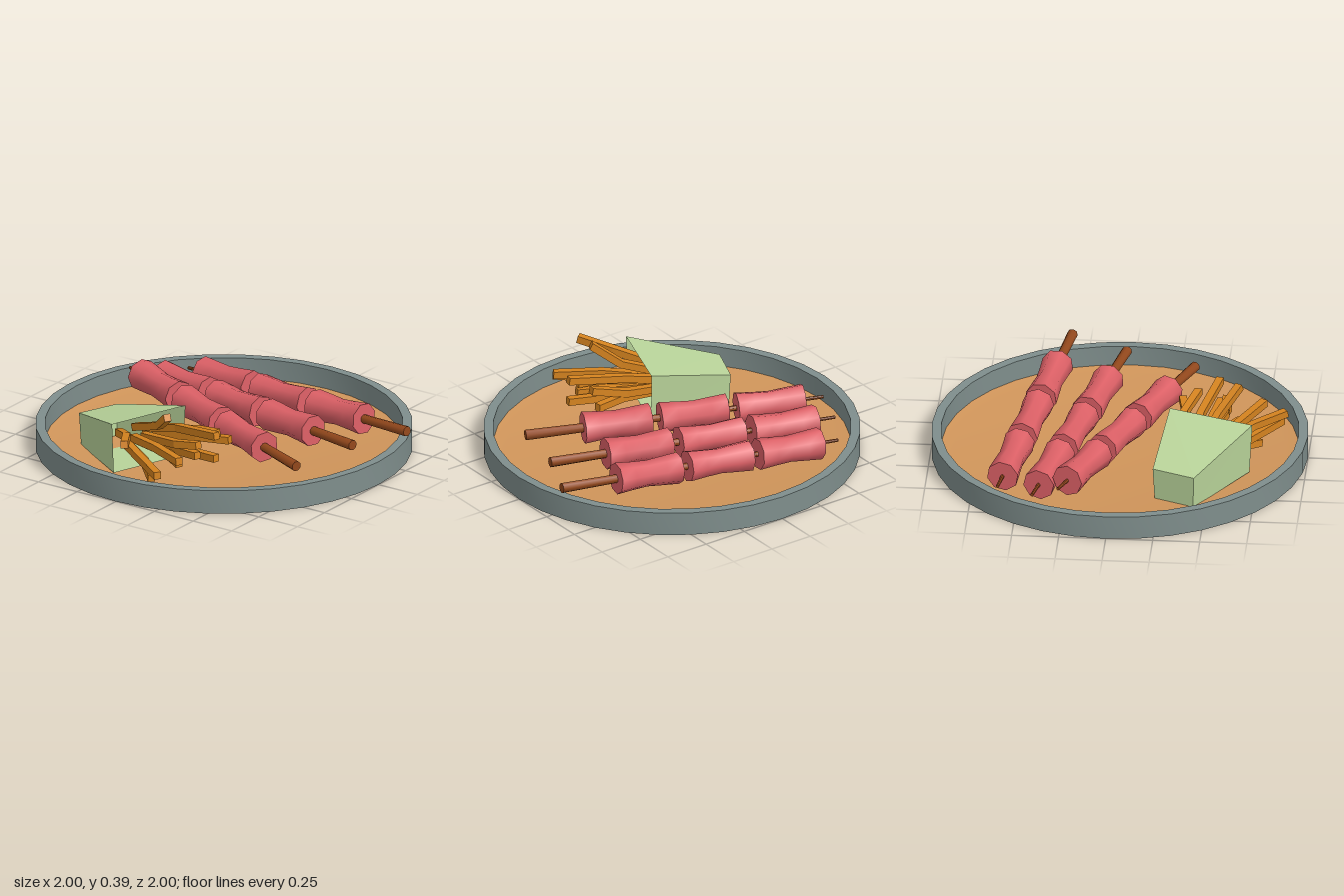
import * as THREE from 'three';
import { toCreasedNormals } from 'three/addons/utils/BufferGeometryUtils.js';

const mat = (name, color, side = THREE.FrontSide) => {
  const m = new THREE.MeshStandardMaterial({ color, side });
  m.name = name;
  return m;
};
const V = (x, y, z) => new THREE.Vector3(x, y, z);

export function createModel() {
  const rimGrey = mat('rimGrey', 0x7f8e8c);
  const trayTan = mat('trayTan', 0xd0955a, THREE.DoubleSide);
  const meatPink = mat('meatPink', 0xdc6066);
  const stickBrown = mat('stickBrown', 0x93481c);
  const cartonGreen = mat('cartonGreen', 0xb9d49a, THREE.DoubleSide);
  const fryOrange = mat('fryOrange', 0xd5831f);

  const model = new THREE.Group();
  model.name = 'snackPlate';
  const add = (parent, name, geometry, material) => {
    const mesh = new THREE.Mesh(geometry, material);
    mesh.name = name;
    parent.add(mesh);
    return mesh;
  };
  const lathe = (points, sides) => toCreasedNormals(
    new THREE.LatheGeometry(points.map(([r, y]) => new THREE.Vector2(r, y)), sides), 0.9);

  // Round plate: upright rim and a thin floor with a slightly raised edge
  add(model, 'plateRim', lathe([[0.95, 0], [1, 0], [1, 0.13], [0.95, 0.13], [0.95, 0]], 36), rimGrey);
  add(model, 'plateFloor', lathe([[0.952, 0.02], [0.88, 0.009], [0, 0.009]], 36), trayTan);

  // Skewers: a tapered stick from thin tip to thick handle, with three pinched meat chunks
  const chunkGeo = lathe([[0, -0.5], [0.086, -0.5], [0.079, -0.25], [0.071, 0], [0.077, 0.25], [0.086, 0.5], [0, 0.5]], 8);
  const skewer = (tip, handle, firstChunk) => {
    const group = new THREE.Group();
    group.name = 'skewer';
    const dir = handle.clone().sub(tip);
    const length = dir.length();
    group.position.copy(tip);
    group.quaternion.setFromUnitVectors(V(0, 1, 0), dir.normalize());
    const stick = toCreasedNormals(new THREE.CylinderGeometry(0.028, 0.009, length, 8), 0.9);
    add(group, 'stick', stick.translate(0, length / 2, 0), stickBrown);
    for (let i = 0; i < 3; i++) {
      const chunk = add(group, 'meatChunk', chunkGeo, meatPink);
      chunk.scale.y = 0.365;
      chunk.position.y = firstChunk + 0.1825 + i * 0.418;
      chunk.rotation.y = Math.PI / 8 + i * 0.25;
    }
    model.add(group);
  };
  skewer(V(-0.65, 0.105, -0.602), V(0.957, 0.19, -0.325), 0.11);
  skewer(V(-0.77, 0.125, -0.41), V(0.815, 0.175, -0.025), 0.115);
  skewer(V(-0.795, 0.18, -0.27), V(0.71, 0.15, 0.345), 0.11);

  // Carton: a tapering sleeve, closed at the small end and open at the mouth
  const back = [V(-0.63, 0.185, 0.44), V(-0.54, 0.185, 0.215), V(-0.535, 0.004, 0.225), V(-0.62, 0.004, 0.435)];
  const mouth = [V(-0.22, 0.3, 0.72), V(-0.06, 0.3, 0.27), V(-0.07, 0.02, 0.285), V(-0.22, 0.02, 0.705)];
  const corners = [];
  const quad = (a, b, c, d) => [a, b, c, a, c, d].forEach((p) => corners.push(p));
  for (let i = 0; i < 4; i++) {
    const j = (i + 1) % 4;
    quad(back[i], mouth[i], mouth[j], back[j]);
  }
  quad(...back);
  const cartonGeo = new THREE.BufferGeometry().setFromPoints(corners);
  cartonGeo.computeVertexNormals();
  add(model, 'carton', cartonGeo, cartonGreen);

  // Fries: square bars bent once, fanning out of the carton
  const fries = new THREE.Group();
  fries.name = 'fries';
  model.add(fries);
  const root = V(-0.48, 0.11, 0.36);
  const fry = (mid, end) => {
    const path = [mid.clone().lerp(root, 0.5), mid, end];
    const dir = end.clone().sub(path[0]).normalize();
    const side = V(0, 1, 0).cross(dir).normalize();
    const up = dir.clone().cross(side);
    const geo = new THREE.BoxGeometry(0.04, 0.04, 2, 1, 1, 2).toNonIndexed();
    const pos = geo.attributes.position;
    for (let i = 0; i < pos.count; i++) {
      const p = path[Math.round(pos.getZ(i)) + 1].clone()
        .addScaledVector(side, pos.getX(i)).addScaledVector(up, pos.getY(i));
      pos.setXYZ(i, p.x, p.y, p.z);
    }
    geo.computeVertexNormals();
    add(fries, 'fry', geo, fryOrange);
  };
  [
    [V(0.07, 0.18, 0.35), V(0.26, 0.19, 0.315)],
    [V(0.06, 0.21, 0.335), V(0.24, 0.25, 0.4)],
    [V(0, 0.24, 0.43), V(0.31, 0.285, 0.51)],
    [V(0, 0.13, 0.45), V(0.31, 0.16, 0.515)],
    [V(0.08, 0.205, 0.555), V(0.22, 0.225, 0.55)],
    [V(0.03, 0.15, 0.51), V(0.22, 0.17, 0.56)],
    [V(0, 0.13, 0.53), V(0.15, 0.13, 0.63)],
    [V(-0.05, 0.27, 0.53), V(0.075, 0.375, 0.63)],
    [V(0, 0.19, 0.63), V(0.235, 0.2, 0.75)],
    [V(-0.05, 0.12, 0.68), V(0.165, 0.135, 0.85)],
    [V(-0.13, 0.25, 0.715), V(-0.025, 0.28, 0.885)],
    [V(-0.08, 0.09, 0.62), V(0.05, 0.06, 0.74)],
  ].forEach(([mid, end]) => fry(mid, end));

  return model;
}
